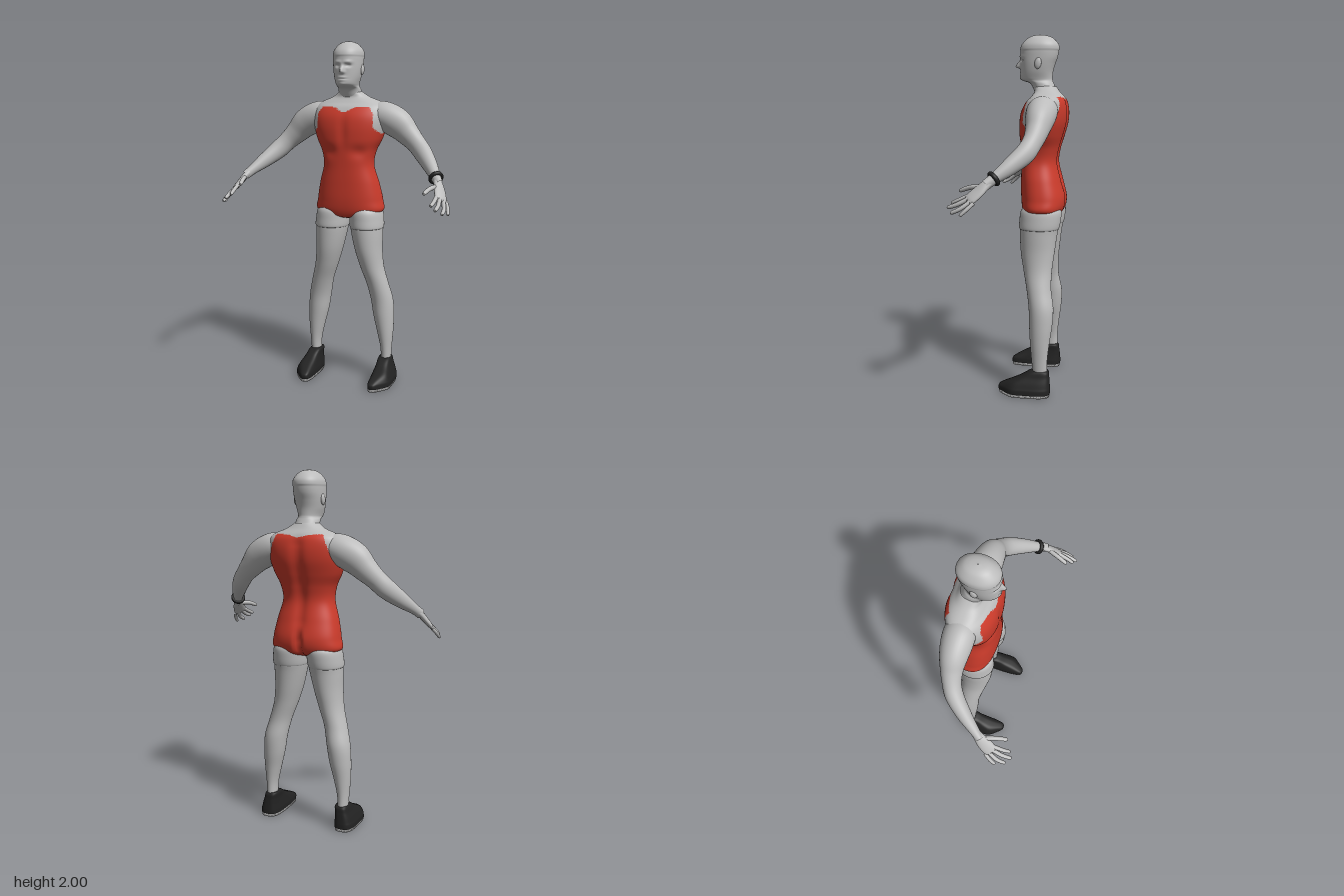
import * as THREE from 'three';

const skin = new THREE.MeshStandardMaterial({ color: 0xbcbcbc });
skin.name = 'light grey';
const red = new THREE.MeshStandardMaterial({ color: 0xcb3b2b });
red.name = 'suit red';
const black = new THREE.MeshStandardMaterial({ color: 0x222222 });
black.name = 'shoe black';

const bump = (d, w) => Math.exp(-((d / w) ** 2));
const step = THREE.MathUtils.smoothstep;

// Smooth interpolation through a list of key rows
function sample(keys, t) {
  const n = keys.length - 1;
  const i = Math.min(Math.floor(t * n), n - 1);
  const f = t * n - i;
  const k = (j) => keys[Math.max(0, Math.min(n, j))];
  return keys[0].map((_, c) => {
    const a = k(i - 1)[c], b = k(i)[c], d = k(i + 1)[c], e = k(i + 2)[c];
    return b + 0.5 * f * (d - a + f * (2 * a - 5 * b + 4 * d - e + f * (3 * (b - d) + e - a)));
  });
}

// Closed ring-by-ring surface; pickRed(x, y, z) optionally splits it in two colour groups
function grid(rows, seg, point, pickRed) {
  const pos = [], sets = [[], []];
  for (let r = 0; r <= rows; r++) {
    for (let s = 0; s < seg; s++) pos.push(...point(r / rows, (s / seg) * Math.PI * 2));
  }
  const add = (...tri) => {
    const mid = [0, 1, 2].map((c) => tri.reduce((sum, v) => sum + pos[v * 3 + c], 0) / 3);
    sets[pickRed && pickRed(...mid) ? 1 : 0].push(...tri);
  };
  for (let r = 0; r < rows; r++) {
    for (let s = 0; s < seg; s++) {
      const a = r * seg + s, b = r * seg + ((s + 1) % seg);
      add(a, a + seg, b);
      add(b, a + seg, b + seg);
    }
  }
  const geo = new THREE.BufferGeometry();
  geo.setAttribute('position', new THREE.Float32BufferAttribute(pos, 3));
  geo.setIndex([...sets[0], ...sets[1]]);
  if (pickRed) {
    geo.addGroup(0, sets[0].length, 0);
    geo.addGroup(sets[0].length, sets[1].length, 1);
  }
  geo.computeVertexNormals();
  return geo;
}

// Level cross-sections: [y, x0, x1, zFront, zBack], rising in y
function loft(keys, { seg = 40, per = 6, power = 2, shape, pickRed } = {}) {
  const pw = (v) => Math.sign(v) * Math.abs(v) ** (2 / power);
  return grid((keys.length - 1) * per, seg, (t, a) => {
    const [y, x0, x1, zf, zb] = sample(keys, t);
    const p = [(x0 + x1) / 2 + ((x1 - x0) / 2) * pw(Math.cos(a)), y,
      (zf + zb) / 2 + ((zf - zb) / 2) * pw(Math.sin(a))];
    return shape ? shape(...p) : p;
  }, pickRed);
}

// Tapered limb along a path: [x, y, z, radius along ref, radius across]
function limb(keys, ref, seg = 28, per = 6) {
  const at = (t) => new THREE.Vector3(...sample(keys, t));
  return grid((keys.length - 1) * per, seg, (t, a) => {
    const k = sample(keys, t);
    const T = at(Math.min(1, t + 0.01)).sub(at(Math.max(0, t - 0.01))).normalize();
    const U = ref.clone().addScaledVector(T, -ref.dot(T)).normalize();
    const V = U.clone().cross(T);
    const [ra, rb] = [k[3], k[4]].map((v) => Math.max(v, 0.0005));
    return at(t).addScaledVector(U, ra * Math.cos(a)).addScaledVector(V, rb * Math.sin(a)).toArray();
  });
}

function mirrored(geo) {
  const g = geo.clone().scale(-1, 1, 1);
  g.index.array.reverse();
  return g;
}

export function createModel() {
  const model = new THREE.Group();
  const add = (name, geo, mat) => {
    const m = new THREE.Mesh(geo, mat);
    m.name = name;
    model.add(m);
    return m;
  };
  const pair = (name, geo, mat) => {
    add('left' + name, geo, mat);
    add('right' + name, mirrored(geo), mat);
  };
  const sym = (rows) => rows.map(([y, w, f, b]) => [y, -w, w, f, b]);

  // Torso with the strapless suit as a colour group
  const torso = sym([
    [0.985, 0.01, -0.1, -0.14], [1.0, 0.07, -0.04, -0.21], [1.03, 0.196, -0.02, -0.248],
    [1.1, 0.196, -0.01, -0.262], [1.2, 0.176, -0.008, -0.24], [1.3, 0.149, -0.008, -0.218],
    [1.38, 0.16, -0.005, -0.228], [1.45, 0.193, 0, -0.248], [1.52, 0.214, 0, -0.266],
    [1.58, 0.22, -0.01, -0.27], [1.63, 0.215, -0.035, -0.262], [1.66, 0.185, -0.062, -0.246],
    [1.69, 0.11, -0.08, -0.22], [1.72, 0.065, -0.075, -0.2],
  ]);
  const carve = (x, y, z) => {
    const back = step(-z, 0.15, 0.22), front = step(z, -0.08, -0.02);
    const spine = 0.014 * step(y, 1.1, 1.2) * (1 - step(y, 1.6, 1.68)) * bump(x, 0.035);
    const cleft = 0.035 * (1 - step(y, 1.08, 1.17)) * bump(x, 0.018);
    const chest = 0.008 * bump(y - 1.5, 0.09) * bump(x, 0.025);
    const ribs = 0.01 * bump(y - 1.38, 0.035) * bump(Math.abs(x) - 0.09, 0.05);
    return [x, y, z + back * (spine + cleft) - front * (chest + ribs)];
  };
  const inSuit = (x, y, z) => {
    const ax = Math.abs(x);
    if (y < 1.46) return true;
    if (z > -0.13) {
      const top = 1.635 - 0.03 * bump(x, 0.045) - 1.4 * Math.max(0, ax - 0.14);
      return y < top && ax < 0.168 + Math.max(0, 1.52 - y);
    }
    return y < 1.662 - 0.015 * bump(x, 0.05) && ax < 0.14 + (1.66 - y) * 0.4;
  };
  add('torso', loft(torso, { seg: 112, per: 8, power: 2.35, shape: carve, pickRed: inSuit }), [skin, red]);

  // Head and neck, with the face shaped by soft bumps
  const head = sym([
    [1.65, 0.088, -0.095, -0.228], [1.7, 0.07, -0.075, -0.203], [1.735, 0.064, -0.055, -0.186],
    [1.75, 0.06, -0.018, -0.18], [1.765, 0.063, 0, -0.178], [1.8, 0.073, 0, -0.181],
    [1.84, 0.08, 0, -0.192], [1.88, 0.083, 0.001, -0.206], [1.92, 0.083, 0, -0.212],
    [1.95, 0.077, -0.011, -0.207], [1.98, 0.054, -0.04, -0.18], [1.994, 0.03, -0.068, -0.15],
    [2.0, 0.002, -0.105, -0.11],
  ]);
  const face = (x, y, z) => {
    const front = step(z, -0.06, -0.02), ax = Math.abs(x);
    const nose = 0.03 * bump(y - 1.828, y > 1.828 ? 0.028 : 0.009) * bump(x, 0.012 + 0.1 * Math.max(0, 1.84 - y));
    const brow = 0.006 * bump(y - 1.882, 0.01) * bump(ax - 0.03, 0.025);
    const socket = -0.011 * bump(y - 1.863, 0.01) * bump(ax - 0.032, 0.016);
    const lips = (0.008 * bump(y - 1.79, 0.013) - 0.009 * bump(y - 1.789, 0.004)) * bump(x, 0.024);
    const chin = 0.005 * bump(y - 1.76, 0.01) * bump(x, 0.022);
    const cap = 1 + 0.03 * step(y, 1.912, 1.922);
    return [x * cap, y, (z + 0.105) * cap - 0.105 + front * (nose + brow + socket + lips + chin)];
  };
  add('head', loft(head, { seg: 120, per: 9, power: 2.15, shape: face }), skin);
  pair('Ear', new THREE.SphereGeometry(1, 16, 12).scale(0.011, 0.031, 0.019).rotateX(-0.15)
    .translate(0.081, 1.843, -0.108), skin);

  // Legs and short hems
  pair('Leg', loft([
    [0.1, 0.2, 0.256, -0.11, -0.19], [0.2, 0.196, 0.262, -0.102, -0.19],
    [0.3, 0.174, 0.27, -0.092, -0.2], [0.4, 0.149, 0.272, -0.085, -0.214],
    [0.5, 0.132, 0.265, -0.08, -0.218], [0.6, 0.11, 0.24, -0.064, -0.202],
    [0.7, 0.075, 0.214, -0.042, -0.202], [0.8, 0.044, 0.204, -0.023, -0.213],
    [0.9, 0.02, 0.204, -0.016, -0.226], [0.97, 0.01, 0.202, -0.018, -0.238],
    [1.06, 0.012, 0.185, -0.03, -0.235],
  ]), skin);
  pair('ShortsHem', loft([
    [0.932, 0.018, 0.2, -0.02, -0.226], [0.94, 0.01, 0.209, -0.01, -0.236],
    [0.98, 0.006, 0.207, -0.012, -0.244], [1.03, 0.006, 0.199, -0.018, -0.247],
    [1.06, 0.02, 0.18, -0.04, -0.23],
  ]), skin);

  // Slip-on shoes: the outer edge curves in towards the toe
  const toe = (x, y, z) => [x - (x - 0.175) * 0.42 * step(z, -0.01, 0.1), y, z];
  const shoeOptions = { seg: 56, per: 4, power: 3.2, shape: toe };
  pair('Shoe', loft([
    [0.018, 0.178, 0.3, 0.09, -0.207], [0.04, 0.178, 0.299, 0.09, -0.207],
    [0.055, 0.18, 0.294, 0.074, -0.206], [0.08, 0.184, 0.285, 0.026, -0.204],
    [0.11, 0.188, 0.272, -0.038, -0.201], [0.143, 0.19, 0.26, -0.096, -0.194],
    [0.146, 0.22, 0.235, -0.14, -0.15],
  ], shoeOptions), black);
  pair('Sole', loft([
    [0, 0.235, 0.237, -0.05, -0.052], [0.0005, 0.18, 0.296, 0.086, -0.204],
    [0.018, 0.179, 0.299, 0.089, -0.206], [0.019, 0.235, 0.237, -0.05, -0.052],
  ], { ...shoeOptions, per: 1 }), skin);

  // Arms
  const up = new THREE.Vector3(0, 1, 0);
  pair('Arm', limb([
    [0.1, 1.6, -0.15, 0.05, 0.06], [0.165, 1.592, -0.15, 0.076, 0.08],
    [0.225, 1.573, -0.15, 0.085, 0.083], [0.29, 1.535, -0.148, 0.084, 0.074],
    [0.345, 1.483, -0.143, 0.068, 0.06], [0.4, 1.43, -0.128, 0.056, 0.05],
    [0.45, 1.377, -0.098, 0.054, 0.048], [0.51, 1.315, -0.03, 0.043, 0.039],
    [0.558, 1.263, 0.037, 0.029, 0.027], [0.585, 1.232, 0.075, 0.027, 0.022],
  ], up, 36), skin);

  // Hands
  const across = new THREE.Vector3(-0.05, 0.035, 0.04);
  pair('Palm', limb([
    [0.565, 1.255, 0.045, 0.022, 0.02], [0.582, 1.232, 0.075, 0.029, 0.019],
    [0.598, 1.2, 0.108, 0.037, 0.017], [0.614, 1.166, 0.145, 0.037, 0.014],
    [0.619, 1.156, 0.157, 0.026, 0.006], [0.62, 1.154, 0.159, 0.001, 0.001],
  ], across), skin);
  const finger = (name, a, b, c, r) => pair(name, limb([
    [...a, r, r], [...b, r, r], [...c, r * 0.8, r * 0.8],
    [...c.map((v, i) => v + (c[i] - b[i]) * 0.12), 0.001, 0.001],
  ], across, 14, 5), skin);
  finger('LittleFinger', [0.636, 1.15, 0.122], [0.654, 1.118, 0.155], [0.662, 1.092, 0.183], 0.01);
  finger('RingFinger', [0.624, 1.158, 0.138], [0.642, 1.122, 0.187], [0.643, 1.1, 0.232], 0.011);
  finger('MiddleFinger', [0.609, 1.17, 0.15], [0.616, 1.14, 0.207], [0.613, 1.122, 0.256], 0.0115);
  finger('IndexFinger', [0.594, 1.181, 0.156], [0.592, 1.158, 0.205], [0.586, 1.142, 0.243], 0.011);
  finger('Thumb', [0.58, 1.224, 0.09], [0.557, 1.218, 0.155], [0.541, 1.199, 0.21], 0.0125);

  // Bracelet on the left wrist
  const bracelet = add('bracelet', new THREE.TorusGeometry(0.033, 0.009, 12, 36).scale(1, 1, 1.3), black);
  bracelet.position.set(0.558, 1.263, 0.037);
  bracelet.quaternion.setFromUnitVectors(new THREE.Vector3(0, 0, 1),
    new THREE.Vector3(0.5, -0.54, 0.68).normalize());

  return model;
}
